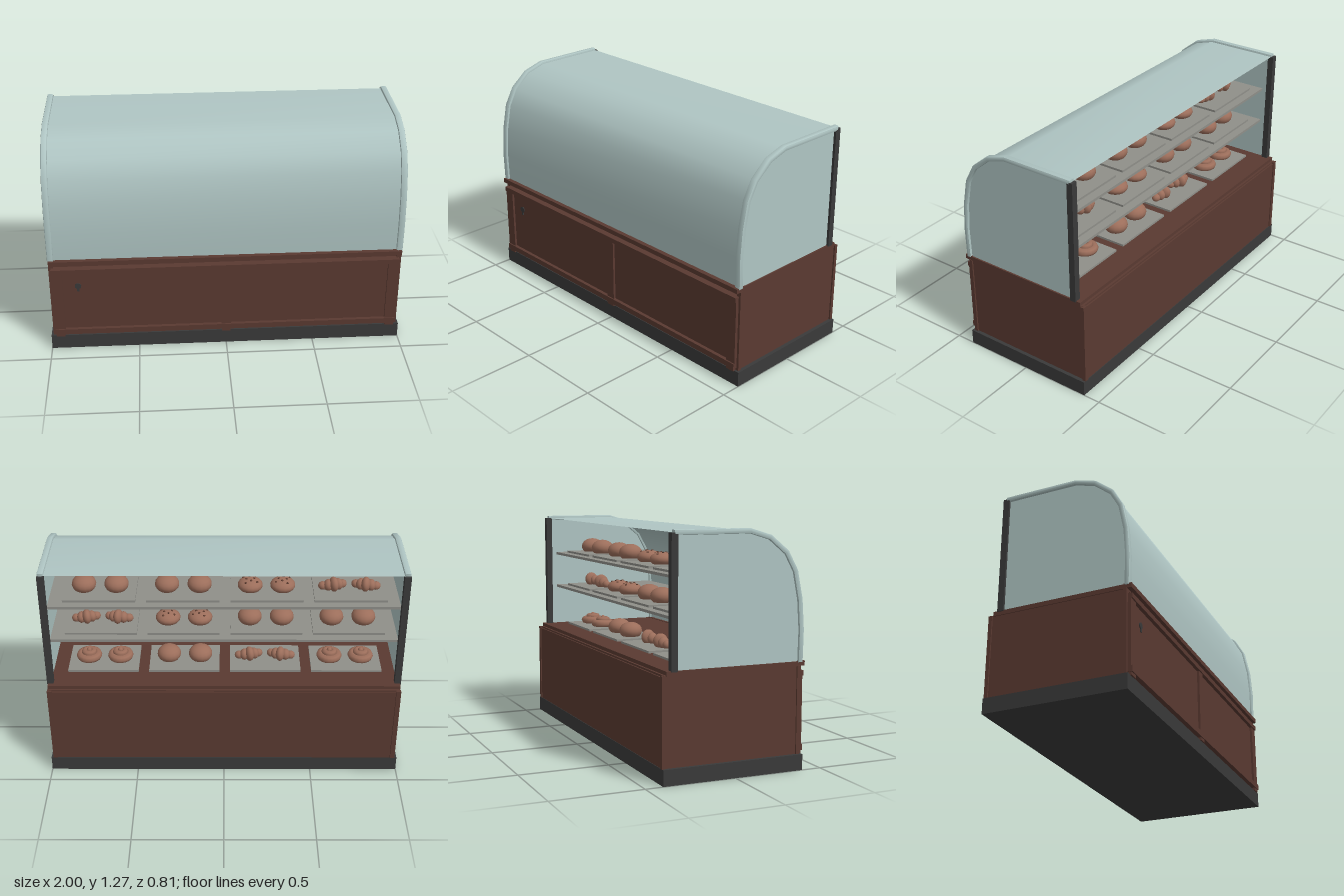
import * as THREE from 'three';
import { toCreasedNormals } from 'three/addons/utils/BufferGeometryUtils.js';

const mat = (name, color, side = THREE.FrontSide) => {
  const m = new THREE.MeshStandardMaterial({ color, side });
  m.name = name;
  return m;
};

export function createModel() {
  const root = new THREE.Group();
  root.name = 'displayCounter';
  const wood = mat('dark wood', 0x5a3a31);
  const black = mat('charcoal', 0x3a3a3a);
  const glass = mat('glass', 0xafc5c3, THREE.DoubleSide);
  const metal = mat('shelf grey', 0x8f8f89);
  const crust = mat('baked crust', 0x9c6e5b);
  const dark = mat('dark crust', 0x5c3c30);

  const add = (name, geo, m, parent = root) => {
    const mesh = new THREE.Mesh(geo, m);
    mesh.name = name;
    parent.add(mesh);
    return mesh;
  };
  // Box given by its limits on each axis
  const box = (name, m, x0, x1, y0, y1, z0, z1, parent = root) => {
    const b = add(name, new THREE.BoxGeometry(x1 - x0, y1 - y0, z1 - z0), m, parent);
    b.position.set((x0 + x1) / 2, (y0 + y1) / 2, (z0 + z1) / 2);
    return b;
  };

  // Plinth and cabinet
  box('plinth', black, -1, 1, 0, 0.085, -0.403, 0.392);
  box('cabinetBody', wood, -0.98, 0.98, 0.085, 0.555, -0.392, 0.365);
  box('counterTop', wood, -0.985, 0.985, 0.55, 0.575, -0.38, 0.365);
  box('backPanel', wood, -0.96, 0.96, 0.085, 0.545, -0.4, -0.39);
  for (const s of [-1, 1]) {
    for (const z of [-0.395, 0.37]) {
      box('cornerPost', wood, s * 0.975 - 0.013, s * 0.975 + 0.013, 0.085, 0.553, z - 0.01, z + 0.01);
    }
  }

  // Panelled front with rails, stiles and mouldings
  box('doorPanels', wood, -0.97, 0.97, 0.1, 0.52, 0.36, 0.385);
  box('frontRail', wood, -0.985, 0.985, 0.552, 0.578, 0.36, 0.405);
  box('railNeck', wood, -0.975, 0.975, 0.54, 0.556, 0.36, 0.38);
  box('upperMoulding', wood, -0.975, 0.975, 0.498, 0.525, 0.36, 0.405);
  box('lowerMoulding', wood, -0.975, 0.975, 0.1, 0.132, 0.36, 0.405);
  for (const [x, w] of [[-0.945, 0.06], [0, 0.055], [0.945, 0.06]]) {
    box('stile', wood, x - w / 2, x + w / 2, 0.1, 0.52, 0.36, 0.398);
    box('footBlock', wood, x - 0.025, x + 0.025, 0.083, 0.1, 0.36, 0.4);
  }
  const lock = add('lockPlate', new THREE.CylinderGeometry(0.018, 0.018, 0.006, 12), black);
  lock.rotation.x = Math.PI / 2;
  lock.position.set(-0.83, 0.41, 0.387);
  box('keySlot', black, -0.836, -0.824, 0.375, 0.41, 0.384, 0.39);

  // Curved glass: outer profile as (z, y)
  const profile = [[0.392, 0.57], [0.396, 0.74], [0.385, 0.9], [0.355, 1.05], [0.3, 1.15],
    [0.2, 1.232], [0.08, 1.268], [-0.34, 1.268]].map(p => new THREE.Vector2(...p));
  const inset = (d) => profile.map((p, i) => {
    const a = profile[Math.max(i - 1, 0)], b = profile[Math.min(i + 1, profile.length - 1)];
    const t = b.clone().sub(a).normalize();
    return new THREE.Vector2(p.x - t.y * d, i === profile.length - 1 ? p.y - d : p.y + t.x * d);
  });
  const extrudeX = (pts, width, bevel) => {
    const g = new THREE.ExtrudeGeometry(new THREE.Shape(pts), {
      depth: width - 2 * bevel, bevelEnabled: bevel > 0, bevelSize: bevel,
      bevelThickness: bevel, bevelOffset: -bevel, bevelSegments: 2,
    });
    g.translate(0, 0, -(width - 2 * bevel) / 2);
    return g.rotateY(-Math.PI / 2);
  };

  const line = inset(0.013);
  const sheet = new THREE.PlaneGeometry(1.93, 1, 1, line.length - 1);
  const pos = sheet.attributes.position;
  for (let i = 0; i < pos.count; i++) {
    const p = line[line.length - 1 - Math.floor(i / 2)];
    pos.setXYZ(i, pos.getX(i), p.y, p.x);
  }
  sheet.computeVertexNormals();
  add('curvedGlass', sheet, glass);

  for (const s of [-1, 1]) {
    const rim = extrudeX([...profile, ...inset(0.027).reverse()], 0.035, 0.007);
    add('glassRim', toCreasedNormals(rim, 0.6), glass).position.x = s * 0.973;
    const pane = extrudeX([...inset(0.02), new THREE.Vector2(-0.34, 0.57)], 0.008, 0);
    add('sideGlass', pane, glass).position.x = s * 0.972;
    box('rearPost', black, s * 0.972 - 0.018, s * 0.972 + 0.018, 0.57, 1.254, -0.355, -0.32);
  }

  // Pastries, each resting on y = 0
  const ball = new THREE.SphereGeometry(1, 16, 10);
  const blob = (g, m, x, y, z, sx, sy, sz) => {
    const b = add('dough', ball, m, g);
    b.position.set(x, y, z);
    b.scale.set(sx, sy, sz);
    return b;
  };
  const ring = (g, r, t, y) => {
    const b = add('doughRing', new THREE.TorusGeometry(r, t, 8, 20), crust, g);
    b.rotation.x = Math.PI / 2;
    b.position.y = y;
  };
  const pastries = {
    bun: g => blob(g, crust, 0, 0.035, 0, 0.068, 0.05, 0.068),
    swirl: g => {
      ring(g, 0.05, 0.023, 0.023);
      ring(g, 0.026, 0.018, 0.045);
      blob(g, crust, 0, 0.05, 0, 0.016, 0.022, 0.016);
    },
    croissant: g => {
      for (let i = -2; i <= 2; i++) {
        const r = 0.042 - Math.abs(i) * 0.009;
        blob(g, crust, i * 0.028, r * 0.85, Math.abs(i) * 0.012 - 0.01, 0.026, r, r).rotation.y = -i * 0.25;
      }
    },
    seeded: g => {
      blob(g, crust, 0, 0.028, 0, 0.07, 0.04, 0.07);
      for (let i = 0; i < 8; i++) {
        const r = i % 2 ? 0.045 : 0.022;
        const h = 0.028 + 0.04 * Math.sqrt(1 - (r / 0.07) ** 2);
        blob(g, dark, Math.cos(i * 0.79) * r, h, Math.sin(i * 0.79) * r, 0.007, 0.004, 0.007);
      }
    },
  };

  // Shelves, trays and their rows of pastries
  const rows = [
    [0.575, ['swirl', 'bun', 'croissant', 'swirl']],
    [0.825, ['croissant', 'seeded', 'bun', 'bun']],
    [1.035, ['bun', 'bun', 'seeded', 'croissant']],
  ];
  rows.forEach(([y, kinds], r) => {
    if (r) box('shelf', metal, -0.962, 0.962, y - 0.015, y, -0.29, r === 1 ? 0.36 : 0.32);
    kinds.forEach((kind, i) => {
      const tray = new THREE.Group();
      tray.name = 'tray';
      tray.position.set(0.685 - i * 0.46, y, -0.11);
      root.add(tray);
      box('trayPlate', metal, -0.2, 0.2, 0, 0.012, -0.13, 0.13, tray);
      for (const s of [-1, 1]) {
        const item = new THREE.Group();
        item.name = kind;
        item.position.set(s * 0.09, 0.01, 0);
        item.rotation.y = s * 0.2;
        pastries[kind](item);
        tray.add(item);
      }
    });
  });
  return root;
}
